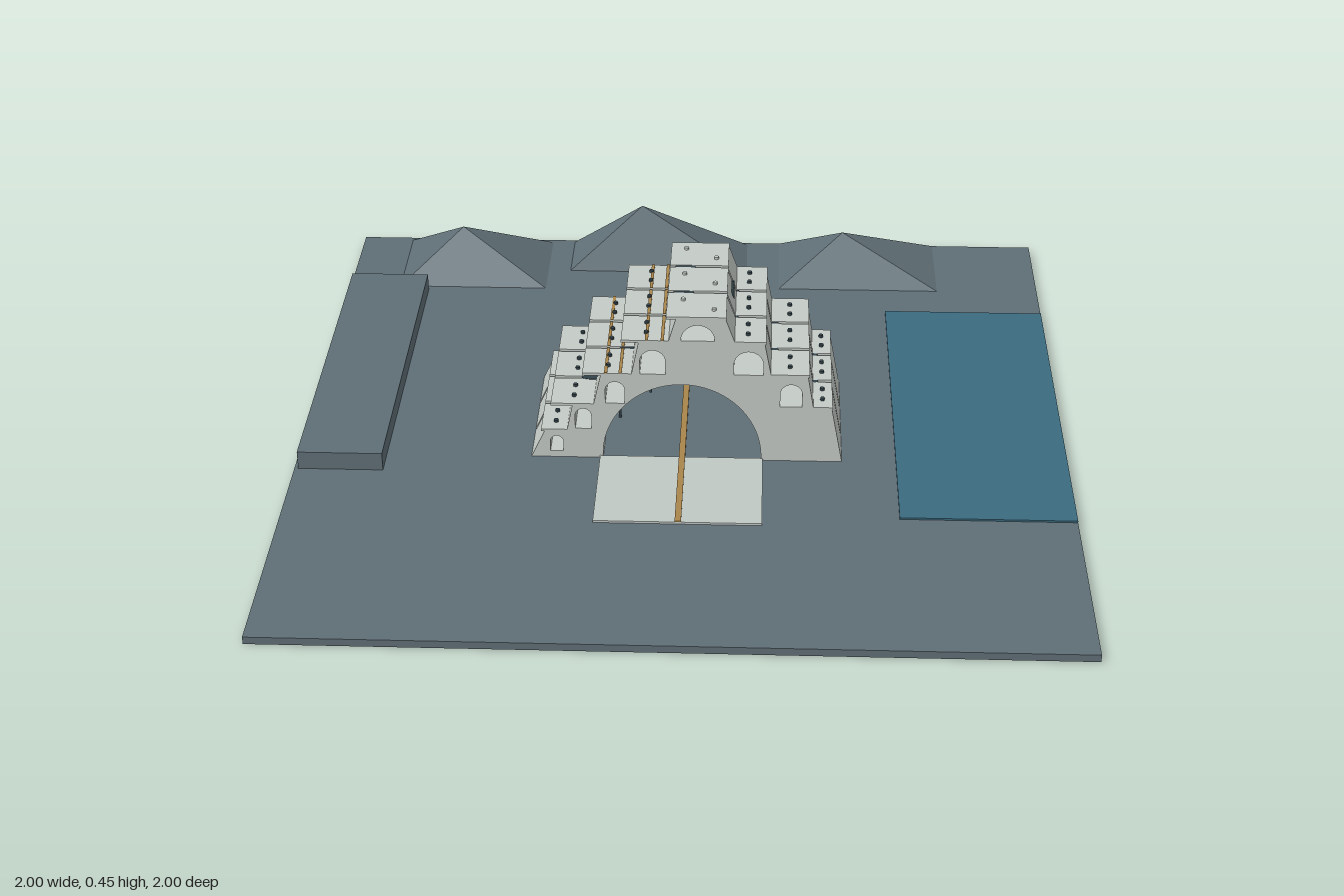
import * as THREE from 'three';

const mat = (name, color) => {
  const m = new THREE.MeshStandardMaterial({ color });
  m.name = name;
  return m;
};

export function createModel() {
  const land = mat('slate land', 0x5f6f76);
  const water = mat('water blue', 0x3a6a7e);
  const stone = mat('pale stone', 0xc4cac5);
  const paving = mat('pale paving', 0xc0c8c4);
  const bronze = mat('bronze', 0xa8854a);
  const metal = mat('dark metal', 0x33434a);

  const root = new THREE.Group();
  root.name = 'terracedArchSite';
  const add = (name, geometry, material, parent = root) => {
    const mesh = new THREE.Mesh(geometry, material);
    mesh.name = name;
    parent.add(mesh);
    return mesh;
  };
  // Box given by its limits on each axis
  const box = (name, material, x0, x1, y0, y1, z0, z1, parent = root) => {
    const mesh = add(name, new THREE.BoxGeometry(x1 - x0, y1 - y0, z1 - z0), material, parent);
    mesh.position.set((x0 + x1) / 2, (y0 + y1) / 2, (z0 + z1) / 2);
    return mesh;
  };

  // Site: ground, lake, plateau, paved forecourt and inlaid path
  box('ground', land, -1, 1, 0, 0.02, -1, 1);
  box('lake', water, 0.555, 1, 0.02, 0.025, -0.59, 0.46);
  box('plateau', land, -0.99, -0.77, 0.02, 0.07, -0.68, 0.28);
  box('forecourt', paving, -0.213, 0.21, 0.02, 0.026, 0.2, 0.5);
  box('pathInlay', bronze, -0.008, 0.008, 0.02, 0.029, -0.2, 0.5);

  // Hills: four-sided peaks with off-centre tops
  const hill = (x0, x1, z0, z1, ax, ay, az) => {
    const c = [[x0, z1], [x1, z1], [x1, z0], [x0, z0]];
    const p = [];
    c.forEach(([x, z], i) => {
      const [nx, nz] = c[(i + 1) % 4];
      p.push(x, 0.02, z, nx, 0.02, nz, ax, ay, az);
    });
    const g = new THREE.BufferGeometry();
    g.setAttribute('position', new THREE.Float32BufferAttribute(p, 3));
    g.computeVertexNormals();
    add('hill', g, land);
  };
  hill(-0.855, -0.43, -0.985, -0.7, -0.68, 0.145, -0.84);
  hill(-0.365, 0.155, -0.99, -0.81, -0.155, 0.192, -0.9);
  hill(0.25, 0.71, -1, -0.72, 0.435, 0.135, -0.86);

  // Stepped profile with battered walls and a wide arch beneath
  const profile = new THREE.Shape();
  [[0.205, 0.02], [0.415, 0.02], [0.385, 0.18], [0.338, 0.18], [0.322, 0.275],
    [0.228, 0.275], [0.21, 0.37], [0.135, 0.37], [0.11, 0.44], [-0.015, 0.44],
    [-0.035, 0.37], [-0.11, 0.37], [-0.13, 0.27], [-0.208, 0.27], [-0.228, 0.18],
    [-0.282, 0.18], [-0.298, 0.1], [-0.355, 0.1], [-0.392, 0.02], [-0.205, 0.02]]
    .forEach(([x, y], i) => (i ? profile.lineTo(x, y) : profile.moveTo(x, y)));
  profile.absellipse(0, 0.03, 0.205, 0.215, Math.PI, 0, true);

  // Round-headed openings: centre, width, sill and crown
  const openings = [[0.04, 0.085, 0.375, 0.42], [0.17, 0.075, 0.277, 0.345], [0.28, 0.056, 0.184, 0.25],
    [-0.075, 0.065, 0.275, 0.345], [-0.172, 0.05, 0.186, 0.25], [-0.255, 0.042, 0.108, 0.168],
    [-0.325, 0.034, 0.038, 0.084]];
  for (const [x, w, y0, y1] of openings) {
    const r = w / 2;
    const hole = new THREE.Path();
    hole.moveTo(x - r, y0);
    hole.lineTo(x + r, y0);
    hole.lineTo(x + r, Math.max(y0 + 0.001, y1 - r));
    hole.absellipse(x, Math.max(y0 + 0.001, y1 - r), r, Math.min(r, y1 - y0 - 0.001), 0, Math.PI, false);
    profile.holes.push(hole);
  }
  const slice = new THREE.ExtrudeGeometry(profile, { depth: 0.126, bevelEnabled: false, curveSegments: 20 });

  // Roof slabs: left end, right end, top height
  const roofs = [[-0.04, 0.112, 0.444], [-0.155, -0.03, 0.374], [-0.255, -0.125, 0.275],
    [-0.338, -0.222, 0.183], [-0.365, -0.292, 0.104], [0.12, 0.214, 0.374],
    [0.225, 0.326, 0.279], [0.335, 0.387, 0.184]];
  for (const zc of [-0.137, 0, 0.137]) {
    const bay = new THREE.Group();
    bay.name = 'terracedBay';
    root.add(bay);
    add('archWall', slice, stone, bay).position.z = zc - 0.063;
    roofs.forEach(([x0, x1, y], i) => {
      box('roofSlab', stone, x0, x1, y - 0.007, y, zc - 0.063, zc + 0.063, bay);
      // Small vents on each terrace
      for (const s of [-1, 1]) {
        const vent = add('roofVent', new THREE.CylinderGeometry(0.006, 0.006, 0.007, 10), i ? metal : stone, bay);
        vent.position.set(i ? (x0 + x1) / 2 : 0.04 + s * 0.04, y + 0.003, zc + s * 0.025);
      }
    });
    // Bronze strips laid along the left terraces
    for (const [x, y] of [[-0.195, 0.275], [-0.158, 0.275], [-0.09, 0.374], [-0.05, 0.374]])
      box('terraceStrip', bronze, x - 0.004, x + 0.004, y, y + 0.002, zc - 0.063, zc + 0.063, bay);
  }

  // Oval links bridging the gaps between bays
  for (const z of [-0.0685, 0.0685])
    for (const [x, y] of [[-0.32, 0.102], [-0.24, 0.18], [-0.14, 0.27], [0, 0.439], [0.115, 0.369], [0.22, 0.274], [0.325, 0.18]]) {
      const link = add('bayLink', new THREE.CylinderGeometry(0.026, 0.026, 0.008, 20), metal);
      link.scale.z = 0.4;
      link.position.set(x, y, z);
    }

  // Slim posts under the overhanging roofs and inside the arch
  for (const [x, y0, y1] of [[-0.037, 0.37, 0.44], [-0.151, 0.27, 0.37], [-0.251, 0.18, 0.27], [-0.334, 0.1, 0.18],
    [0.125, 0.37, 0.44], [0.008, 0.18, 0.246], [-0.09, 0.1, 0.225], [-0.172, 0.02, 0.16]]) {
    const post = add('post', new THREE.CylinderGeometry(0.004, 0.004, y1 - y0, 10), metal);
    post.position.set(x, (y0 + y1) / 2, 0);
  }
  return root;
}
